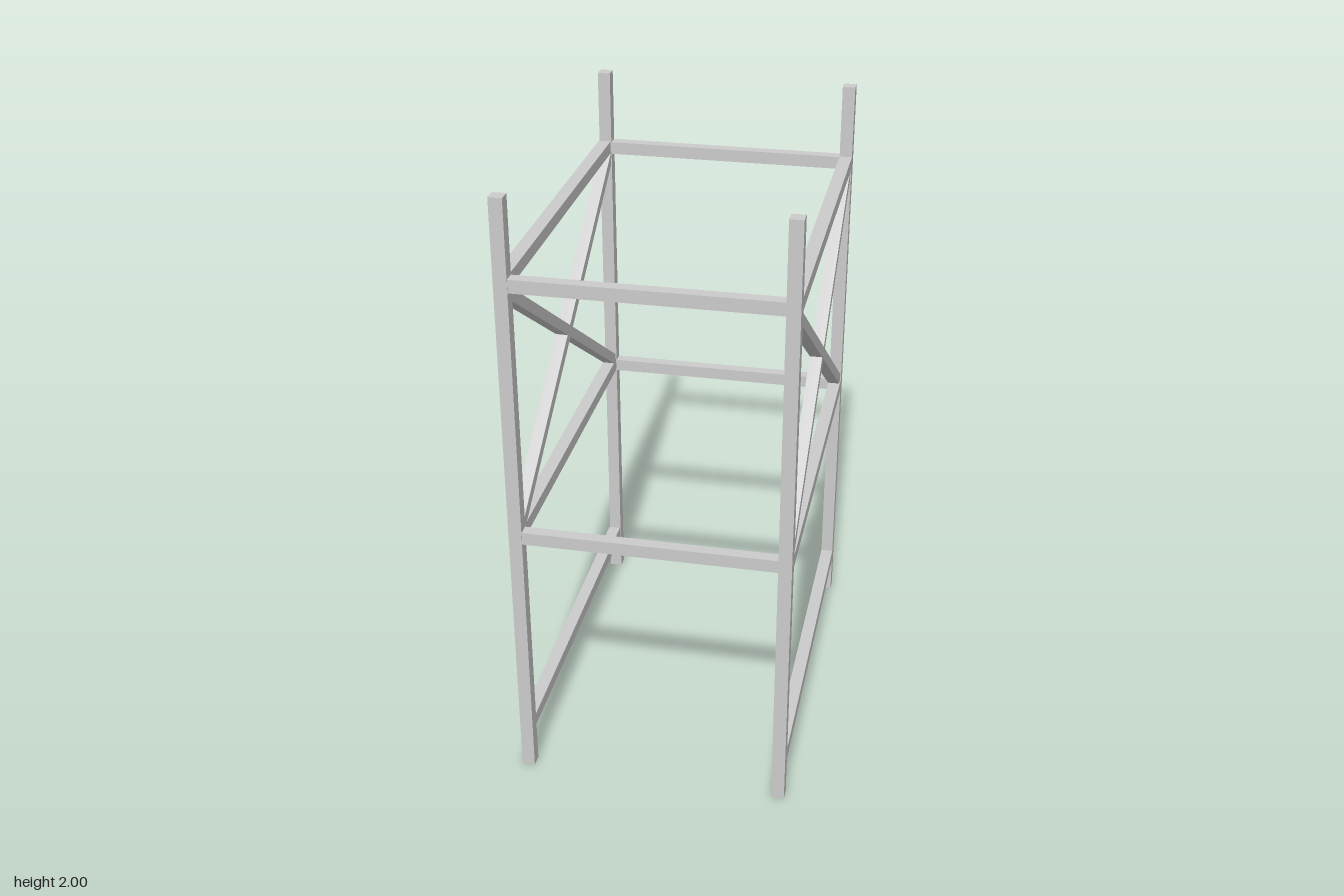
import * as THREE from 'three';

const T = 0.042;           // bar thickness
const X = 0.42, Z = 0.617; // post centres

export function createModel() {
  const model = new THREE.Group();
  model.name = 'rackFrame';
  const mat = new THREE.MeshStandardMaterial({ color: 0xcccccc, flatShading: true });

  const bar = (name, size, pos, tilt = 0) => {
    const mesh = new THREE.Mesh(new THREE.BoxGeometry(...size), mat);
    mesh.name = name;
    mesh.position.set(...pos);
    mesh.rotation.x = tilt;
    model.add(mesh);
  };

  // Four corner posts
  for (const sx of [-1, 1])
    for (const sz of [-1, 1])
      bar('cornerPost', [T, 2, T], [sx * X, 1, sz * Z]);

  // Cross rails at the front and back
  for (const sz of [-1, 1])
    for (const y of [0.891, 1.735])
      bar('crossRail', [2 * X - T, T, 0.038], [0, y, sz * Z]);

  // Side rails and X braces between front and back posts
  const braceRise = 0.78, braceRun = 2 * Z - T;
  const braceLength = Math.hypot(braceRise, braceRun) + 0.015;
  const tilt = Math.atan2(braceRise, braceRun);
  for (const sx of [-1, 1]) {
    const railX = sx * X - (sx < 0 ? 0.003 : 0);
    for (const y of [0.153, 0.891, 1.738])
      bar('sideRail', [T, T, braceRun], [railX, y, 0]);
    for (const dir of [-1, 1])
      bar('diagonalBrace', [0.04, 0.036, braceLength], [sx * X - 0.002, 1.305, 0], dir * tilt);
  }

  return model;
}
